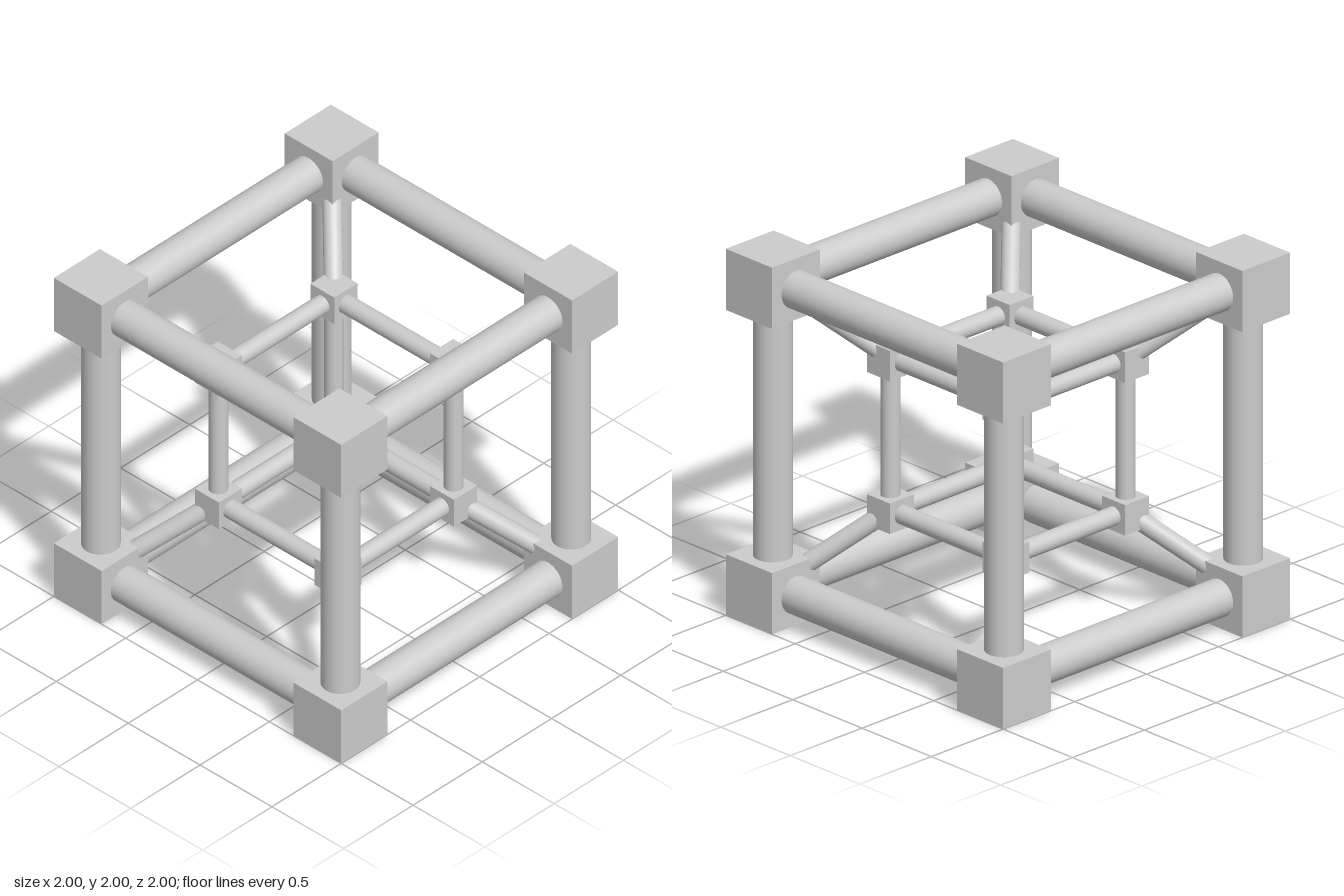
import * as THREE from 'three';

const OUTER = 0.8333; // centre offset of the large corner blocks
const INNER = 0.4167; // centre offset of the small corner blocks
const SIGNS = [-1, 1];

export function createModel() {
  const model = new THREE.Group();
  const material = new THREE.MeshStandardMaterial({ color: 0xcccccc });
  const up = new THREE.Vector3(0, 1, 0);

  const addBlock = (parent, name, position, size) => {
    const mesh = new THREE.Mesh(new THREE.BoxGeometry(size, size, size), material);
    mesh.name = name;
    mesh.position.copy(position);
    parent.add(mesh);
  };

  // Round bar joining two points
  const addBar = (parent, name, a, b, radius) => {
    const dir = b.clone().sub(a);
    const mesh = new THREE.Mesh(new THREE.CylinderGeometry(radius, radius, dir.length(), 48), material);
    mesh.name = name;
    mesh.position.copy(a).add(b).multiplyScalar(0.5);
    mesh.quaternion.setFromUnitVectors(up, dir.normalize());
    parent.add(mesh);
  };

  // Cube frame: eight corner blocks and twelve edge bars
  const addFrame = (name, offset, blockSize, barRadius) => {
    const frame = new THREE.Group();
    frame.name = name + 'Frame';
    for (const x of SIGNS) for (const y of SIGNS) for (const z of SIGNS) {
      addBlock(frame, name + 'CornerBlock', new THREE.Vector3(x, y, z).multiplyScalar(offset), blockSize);
    }
    for (const axis of [0, 1, 2]) for (const u of SIGNS) for (const v of SIGNS) {
      const end = (s) => new THREE.Vector3()
        .setComponent(axis, s * offset)
        .setComponent((axis + 1) % 3, u * offset)
        .setComponent((axis + 2) % 3, v * offset);
      addBar(frame, name + 'EdgeBar', end(-1), end(1), barRadius);
    }
    model.add(frame);
  };

  addFrame('outer', OUTER, 0.3333, 0.1);
  addFrame('inner', INNER, 0.1667, 0.05);

  // Diagonal struts between matching corners of the two frames
  const struts = new THREE.Group();
  struts.name = 'diagonalStruts';
  for (const x of SIGNS) for (const y of SIGNS) for (const z of SIGNS) {
    const corner = new THREE.Vector3(x, y, z);
    addBar(struts, 'diagonalStrut', corner.clone().multiplyScalar(INNER),
      corner.clone().multiplyScalar(OUTER), 0.05);
  }
  model.add(struts);

  // Stand the frames on the ground
  for (const part of model.children) part.position.y = 1;
  return model;
}
